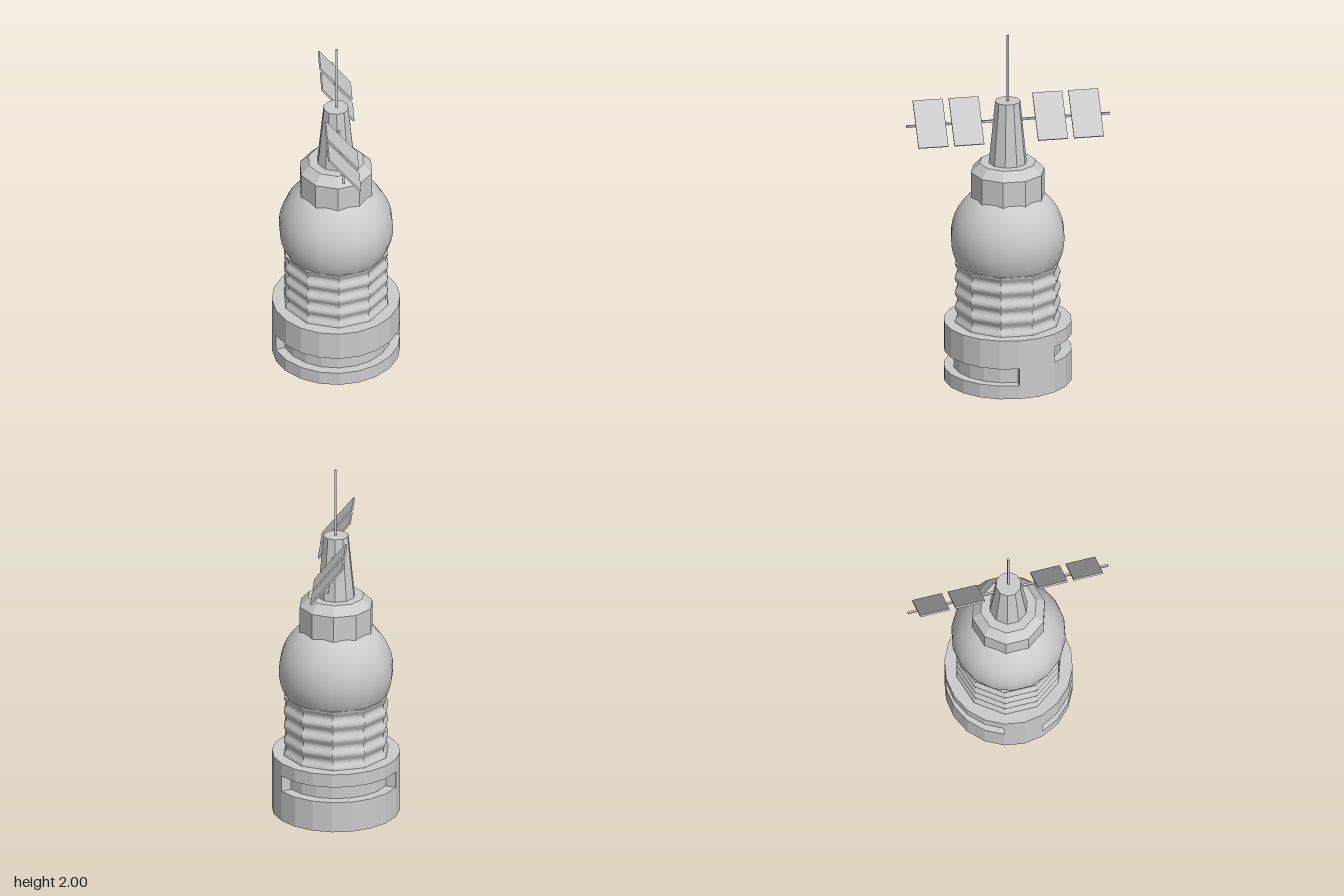
import * as THREE from 'three';

const material = new THREE.MeshStandardMaterial({ color: 0xcccccc });
const faceted = new THREE.MeshStandardMaterial({ color: 0xcccccc, flatShading: true });

function addMesh(parent, name, geometry, mat = faceted) {
  const mesh = new THREE.Mesh(geometry, mat);
  mesh.name = name;
  parent.add(mesh);
  return mesh;
}

// Ten-sided turned body from [radius, y] pairs, listed bottom to top
function decagon(profile) {
  const points = profile.map(([r, y]) => new THREE.Vector2(r, y));
  const geometry = new THREE.LatheGeometry(points, 10).toNonIndexed();
  geometry.computeVertexNormals();
  return geometry;
}

// Twenty-sided disc; between steps `from` and `to` the rim is cut back to form a slot
function slottedDisc(y0, y1, from = 0, to = 0, innerRadius = 0.3) {
  const outer = 0.352;
  const points = [];
  const add = (r, i) => {
    const a = (i * Math.PI) / 10;
    points.push(new THREE.Vector2(r * Math.cos(a), -r * Math.sin(a)));
  };
  for (let i = from; i <= to && to > from; i++) add(innerRadius, i);
  const end = to > from ? from + 20 : from + 19;
  for (let i = to; i <= end; i++) add(outer, i);
  const geometry = new THREE.ExtrudeGeometry(new THREE.Shape(points), {
    depth: y1 - y0, bevelEnabled: false,
  });
  return geometry.rotateX(-Math.PI / 2).translate(0, y0, 0);
}

export function createModel() {
  const model = new THREE.Group();
  model.name = 'spaceStation';

  // Base drum with two curved slots
  const base = new THREE.Group();
  base.name = 'base';
  model.add(base);
  addMesh(base, 'baseFoot', slottedDisc(0, 0.077));
  addMesh(base, 'frontSlotLayer', slottedDisc(0.077, 0.175, 0, 9));
  addMesh(base, 'backSlotLayer', slottedDisc(0.175, 0.265, 11, 18, 0.293));
  addMesh(base, 'baseTop', slottedDisc(0.265, 0.34));

  // Ribbed section: four shallow waves
  const ribs = [];
  for (let i = 0; i <= 32; i++) {
    const t = i / 32;
    ribs.push([0.287 + 0.008 * Math.cos(t * 8 * Math.PI), 0.34 + 0.345 * t]);
  }
  ribs.push([0, 0.685]);
  addMesh(model, 'ribbedSection', decagon(ribs));

  // Round hull
  addMesh(model, 'sphereHull', new THREE.SphereGeometry(0.315, 18, 24)
    .rotateY(Math.PI / 2).translate(0, 0.825, 0), material);

  // Chamfered collar and tapering tower
  addMesh(model, 'collar', decagon([[0, 1.06], [0.205, 1.06], [0.205, 1.21], [0.156, 1.26], [0, 1.26]]));
  addMesh(model, 'tower', decagon([[0.106, 1.255], [0.07, 1.615], [0, 1.615]]));

  // Antenna
  addMesh(model, 'antenna', new THREE.BoxGeometry(0.011, 0.39, 0.011).translate(0.003, 1.805, 0));

  // Solar array: one rod through the tower, two tilted panels on each side
  const array = new THREE.Group();
  array.name = 'solarArray';
  model.add(array);
  addMesh(array, 'panelRod', new THREE.BoxGeometry(0.012, 0.012, 1.132).translate(0.011, 1.507, 0));
  for (const side of [-1, 1]) {
    for (const z of [0.233, 0.433]) {
      const panel = addMesh(array, 'solarPanel', new THREE.BoxGeometry(0.276, 0.01, 0.166));
      panel.position.set(0.019, 1.518, side * z);
      panel.rotation.z = -0.89;
    }
  }

  return model;
}
